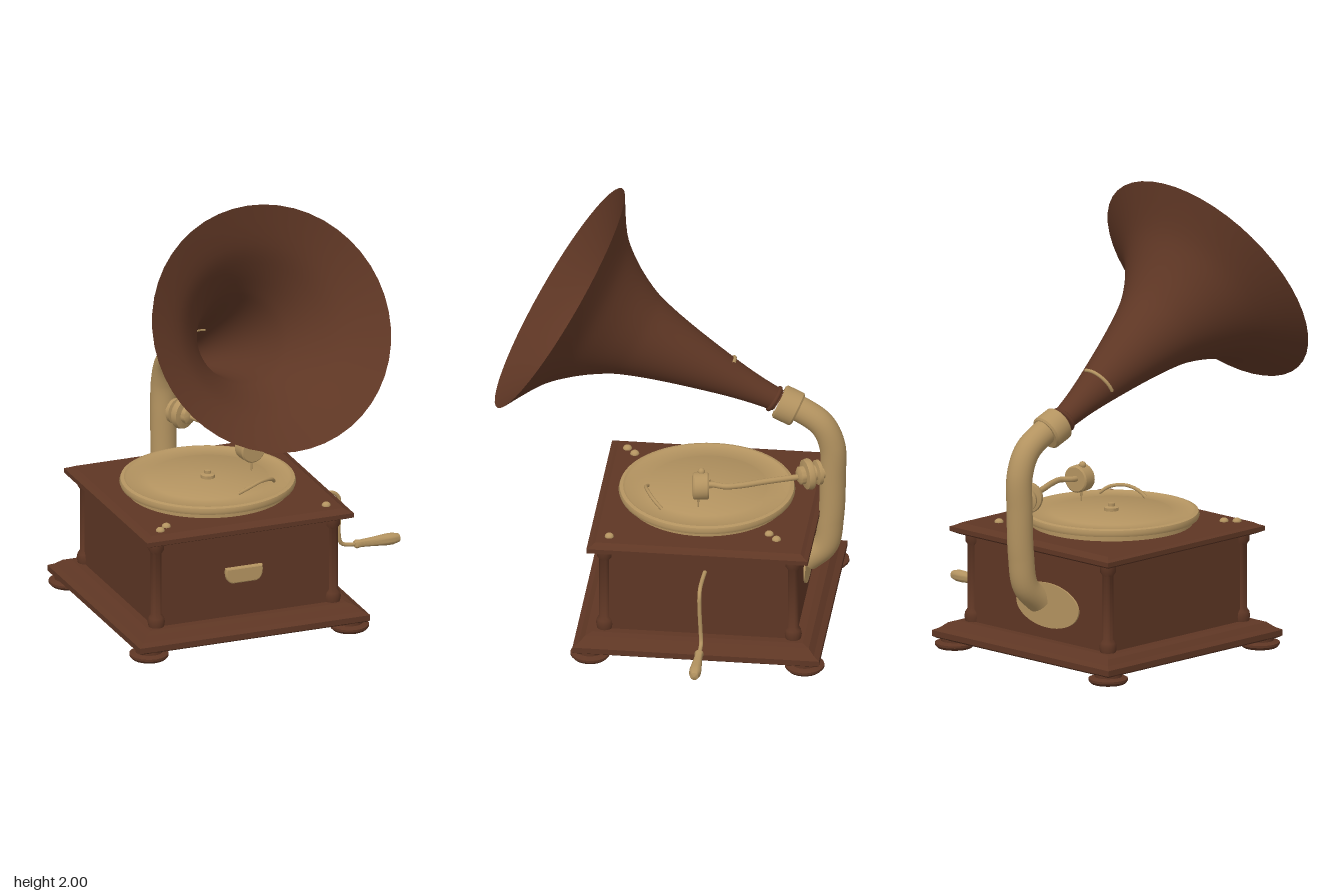
import * as THREE from 'three';
import { toCreasedNormals } from 'three/addons/utils/BufferGeometryUtils.js';

const wood = new THREE.MeshStandardMaterial({ color: 0x5e3624, side: THREE.DoubleSide });
wood.name = 'dark wood';
const brass = new THREE.MeshStandardMaterial({ color: 0xb39360 });
brass.name = 'brass';

const V = (x, y, z) => new THREE.Vector3(x, y, z);
const YAW = 0.075;

function add(parent, name, geometry, material, x = 0, y = 0, z = 0) {
  const mesh = new THREE.Mesh(geometry, material);
  mesh.name = name;
  mesh.position.set(x, y, z);
  parent.add(mesh);
  return mesh;
}

// Profile of [radius, height] turned around y
function turned(profile, segments = 24) {
  const geo = new THREE.LatheGeometry(profile.map(([r, y]) => new THREE.Vector2(r, y)), segments);
  return toCreasedNormals(geo, 0.7);
}

// Profile of [half width, height] swept around a square
function square(profile) {
  const pts = profile.map(([h, y]) => new THREE.Vector2(h * Math.SQRT2, y));
  const geo = new THREE.LatheGeometry(pts, 4, Math.PI / 4).toNonIndexed();
  geo.computeVertexNormals();
  return geo;
}

function tube(points, radius, segments = 32, sides = 16) {
  return new THREE.TubeGeometry(new THREE.CatmullRomCurve3(points), segments, radius, sides);
}

// Turned part whose profile runs from a towards b
function along(parent, name, profile, material, a, b) {
  const mesh = add(parent, name, turned(profile), material, a.x, a.y, a.z);
  mesh.quaternion.setFromUnitVectors(V(0, 1, 0), b.clone().sub(a).normalize());
  return mesh;
}

const drum = (r, h, c = 0.006) => [[0, 0], [r - c, 0], [r, c], [r, h - c], [r - c, h], [0, h]];

function makeCabinet() {
  const cabinet = new THREE.Group();
  cabinet.name = 'cabinet';
  cabinet.position.set(-0.17, 0, -0.165);
  cabinet.rotation.y = YAW;

  add(cabinet, 'plinth', square([[0.37, 0.04], [0.525, 0.04], [0.54, 0.05], [0.54, 0.075], [0.515, 0.088],
    [0.49, 0.11], [0.46, 0.118], [0.37, 0.118], [0.37, 0.04]]), wood);
  add(cabinet, 'walls', square([[0.395, 0.11], [0.425, 0.11], [0.425, 0.51], [0.395, 0.51], [0.395, 0.11]]), wood);
  add(cabinet, 'lid', square([[0, 0.5], [0.44, 0.5], [0.46, 0.508], [0.485, 0.52], [0.485, 0.54],
    [0.465, 0.548], [0.45, 0.557], [0, 0.557]]), wood);

  // Corner posts and feet
  const post = turned([[0.02, 0.11], [0.034, 0.118], [0.038, 0.14], [0.034, 0.16], [0.024, 0.175], [0.024, 0.46],
    [0.034, 0.475], [0.034, 0.505]], 16);
  const foot = turned([[0, 0], [0.075, 0], [0.086, 0.012], [0.086, 0.022], [0.06, 0.03], [0.06, 0.045], [0, 0.045]]);
  for (const sx of [-1, 1]) for (const sz of [-1, 1]) {
    add(cabinet, 'cornerPost', post, wood, sx * 0.413, 0, sz * 0.413);
    add(cabinet, 'foot', foot, wood, sx * 0.47, 0, sz * 0.47);
  }

  // Cupped drawer pull on the front
  const pull = new THREE.Shape();
  pull.moveTo(-0.08, 0.03);
  pull.lineTo(0.08, 0.03);
  pull.quadraticCurveTo(0.085, -0.02, 0.055, -0.03);
  pull.lineTo(-0.055, -0.03);
  pull.quadraticCurveTo(-0.085, -0.02, -0.08, 0.03);
  const pullGeo = new THREE.ExtrudeGeometry(pull, { depth: 0.012, bevelSize: 0.006, bevelThickness: 0.008, bevelSegments: 2 });
  add(cabinet, 'drawerPull', pullGeo, brass, -0.01, 0.31, 0.425);

  // Oval plate where the pipe enters the back
  const plate = add(cabinet, 'pipePlate', new THREE.CylinderGeometry(0.1, 0.1, 0.009, 40), brass, -0.06, 0.27, -0.428);
  plate.rotation.x = Math.PI / 2;
  plate.scale.x = 1.9;
  return cabinet;
}

function makeTurntable() {
  const g = new THREE.Group();
  g.name = 'turntable';
  g.position.set(-0.18, 0, -0.15);
  add(g, 'platter', turned([[0, 0.55], [0.355, 0.55], [0.355, 0.578], [0.38, 0.582], [0.385, 0.595], [0.38, 0.61],
    [0.365, 0.614], [0.355, 0.608], [0.27, 0.608], [0.265, 0.611], [0, 0.611]], 64), brass);
  add(g, 'spindle', turned([[0.032, 0.605], [0.032, 0.625], [0.015, 0.63], [0.015, 0.643], [0, 0.646]]), brass);
  return g;
}

// Flared horn made of tilted rings: [distance along axis 0..1, radius]
function makeHorn() {
  const g = new THREE.Group();
  g.name = 'horn';
  const start = V(-0.2, 1.06, -0.46), end = V(-0.09, 1.53, 0.485);
  const tilt = new THREE.Euler(-0.53, YAW, 0, 'YXZ');
  const profile = new THREE.SplineCurve([[0, 0.05], [0.12, 0.065], [0.25, 0.09], [0.45, 0.137], [0.6, 0.181],
    [0.69, 0.22], [0.8, 0.292], [0.9, 0.388], [1, 0.55]].map(([t, r]) => new THREE.Vector2(t, r)));
  const rows = 32, sides = 48, pos = [], index = [];
  profile.getPoints(rows).forEach((p, i) => {
    const c = start.clone().lerp(end, p.x);
    for (let j = 0; j < sides; j++) {
      const a = (j / sides) * Math.PI * 2;
      const v = V(Math.cos(a) * p.y, Math.sin(a) * p.y, 0).applyEuler(tilt).add(c);
      pos.push(v.x, v.y, v.z);
      if (i === rows) continue;
      const k = (j + 1) % sides, r0 = i * sides, r1 = r0 + sides;
      index.push(r0 + j, r0 + k, r1 + k, r0 + j, r1 + k, r1 + j);
    }
  });
  const geo = new THREE.BufferGeometry();
  geo.setAttribute('position', new THREE.Float32BufferAttribute(pos, 3));
  geo.setIndex(index);
  geo.computeVertexNormals();
  add(g, 'bell', geo, wood);

  // Throat bead and the partial brass band
  const bead = add(g, 'throatBead', new THREE.TorusGeometry(0.052, 0.01, 10, 32), wood, -0.198, 1.067, -0.445);
  bead.rotation.copy(tilt);
  const band = add(g, 'band', new THREE.TorusGeometry(0.091, 0.008, 8, 24, 1.9), brass, -0.173, 1.175, -0.228);
  band.rotation.copy(tilt);
  band.rotateZ(1.3);
  return g;
}

function makeSoundArm() {
  const g = new THREE.Group();
  g.name = 'soundArm';
  add(g, 'pipe', tube([V(-0.2, 1.055, -0.48), V(-0.2, 1.025, -0.56), V(-0.202, 0.96, -0.655), V(-0.205, 0.86, -0.7),
    V(-0.207, 0.7, -0.703), V(-0.207, 0.5, -0.695), V(-0.207, 0.36, -0.67), V(-0.207, 0.28, -0.59)], 0.057, 48, 24), brass);
  along(g, 'pipeCollar', [[0.05, 0], [0.07, 0], [0.078, 0.008], [0.078, 0.085], [0.07, 0.092], [0.05, 0.092]], brass,
    V(-0.2, 1.02, -0.55), V(-0.2, 1.06, -0.46));

  // Swivel joint with stacked discs
  const a = V(-0.2, 0.735, -0.69), b = V(-0.12, 0.735, -0.56);
  along(g, 'swivel', [[0, 0], [0.035, 0], [0.035, 0.04], [0.055, 0.046], [0.055, 0.062], [0.035, 0.068], [0.035, 0.08],
    [0.066, 0.086], [0.07, 0.095], [0.066, 0.115], [0.04, 0.12], [0.04, 0.14], [0.025, 0.15], [0, 0.15]], brass, a, b);

  // Thin arm and sound box
  add(g, 'toneArm', tube([V(-0.125, 0.73, -0.57), V(-0.06, 0.73, -0.44), V(0, 0.73, -0.33), V(0.02, 0.73, -0.27),
    V(0.005, 0.725, -0.21), V(0.01, 0.722, -0.17)], 0.013, 32, 10), brass);
  along(g, 'soundBox', drum(0.06, 0.07), brass, V(0.01, 0.72, -0.195), V(0.025, 0.72, -0.125));
  add(g, 'soundBoxKnob', new THREE.SphereGeometry(0.016, 14, 10), brass, 0.0, 0.782, -0.16);
  add(g, 'needle', new THREE.CylinderGeometry(0.006, 0.003, 0.05, 8), brass, 0.02, 0.64, -0.15);
  return g;
}

function makeCrank() {
  const g = new THREE.Group();
  g.name = 'crank';
  add(g, 'crankRod', tube([V(0.27, 0.436, -0.228), V(0.34, 0.436, -0.23), V(0.42, 0.434, -0.235), V(0.445, 0.41, -0.237),
    V(0.449, 0.36, -0.238), V(0.449, 0.23, -0.244), V(0.46, 0.19, -0.248), V(0.49, 0.177, -0.25), V(0.55, 0.175, -0.255)],
  0.009, 48, 10), brass);
  along(g, 'crankHandle', [[0, 0], [0.014, 0], [0.02, 0.01], [0.017, 0.03], [0.02, 0.08], [0.026, 0.15], [0.026, 0.18],
    [0.018, 0.21], [0, 0.218]], brass, V(0.522, 0.175, -0.252), V(0.74, 0.175, -0.27));
  return g;
}

export function createModel() {
  const model = new THREE.Group();
  model.name = 'hornRecordPlayer';
  model.add(makeCabinet(), makeTurntable(), makeHorn(), makeSoundArm(), makeCrank());

  // Small studs on the lid
  for (const [x, z] of [[0.14, -0.52], [0.1, -0.48], [-0.49, 0.23], [-0.53, 0.27], [0.25, 0.2]]) {
    const stud = add(model, 'lidStud', new THREE.SphereGeometry(0.02, 14, 10), brass, x, 0.558, z);
    stud.scale.y = 0.8;
  }
  // Curved brake lever over the platter
  add(model, 'brakeLever', tube([V(-0.12, 0.618, 0.1), V(-0.07, 0.64, 0.1), V(-0.01, 0.655, 0.08), V(0.05, 0.645, 0.04),
    V(0.075, 0.618, 0)], 0.008, 24, 8), brass);
  return model;
}
